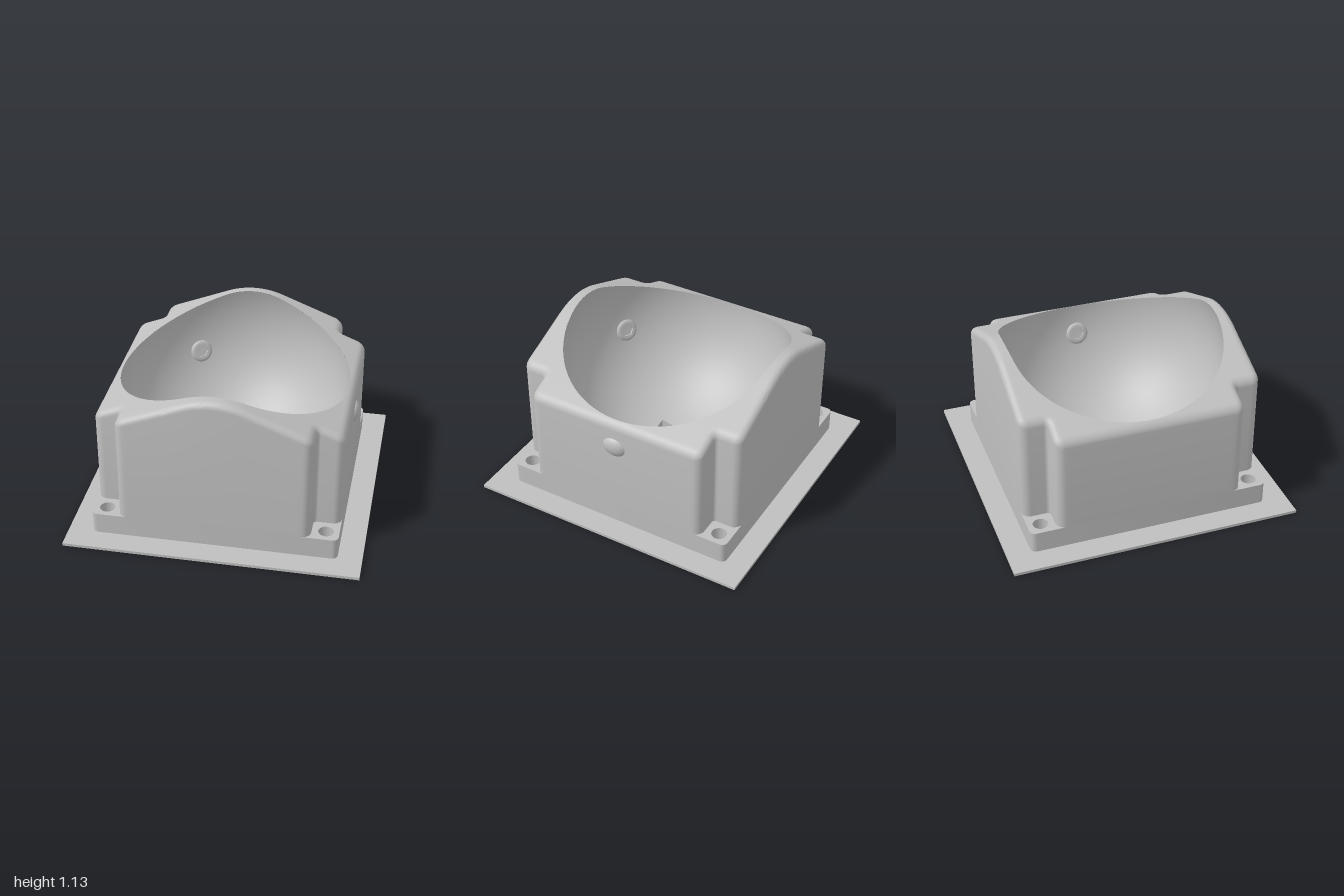
import * as THREE from 'three';
import { toCreasedNormals } from 'three/addons/utils/BufferGeometryUtils.js';

const OUT = 0.835, NOTCH = 0.65, CORNER = 0.06, INNER = 0.025, FILLET = 0.045;
const PLATE = 0.02, FLANGE = 0.17, BALL_Y = 0.862, BALL_R = 0.79;
const SLOT_X = 0.16, SLOT_Z = 0.222;

// Height of the roof: an arc over the middle, straight slopes at the sides
function roof(x) {
  const a = Math.abs(x);
  return a < 0.2 ? 1.128 - 0.548 + Math.sqrt(0.548 ** 2 - a * a) : 1.09 - 0.393 * (a - 0.2);
}

// Distance from the axis at which the bowl meets the roof
function rimRadius(phi) {
  let r = 0.78;
  for (let i = 0; i < 20; i++) r = Math.sqrt(BALL_R ** 2 - (roof(r * Math.cos(phi)) - BALL_Y) ** 2);
  return r;
}

// Plan of the body, a square with notched corners, inset by d
function outline(d) {
  const quarter = [], s = NOTCH - CORNER, e = OUT - CORNER, k = NOTCH + INNER;
  for (let i = 0; i < 48; i++) quarter.push([OUT - d, -s + (2 * s * i) / 48]);
  const arc = (cx, cz, r, from, to, last) => {
    for (let i = 0; i <= last; i++) {
      const t = from + ((to - from) * i) / 8;
      quarter.push([cx + r * Math.cos(t), cz + r * Math.sin(t)]);
    }
  };
  arc(e, s, CORNER - d, 0, Math.PI / 2, 8);
  arc(k, k, INNER + d, Math.PI * 1.5, Math.PI, 8);
  arc(s, e, CORNER - d, 0, Math.PI / 2, 7);
  const all = [];
  for (let q = 0; q < 4; q++) {
    for (const [x, z] of quarter) all.push([[x, z], [-z, x], [-x, -z], [z, -x]][q]);
  }
  return all;
}

// Skin over closed rows of points
function loft(rows, crease) {
  const n = rows[0].length, index = [];
  for (let i = 0; i < rows.length - 1; i++) {
    for (let j = 0; j < n; j++) {
      const a = i * n + j, b = i * n + ((j + 1) % n);
      index.push(a, a + n, b, b, a + n, b + n);
    }
  }
  const g = new THREE.BufferGeometry();
  g.setAttribute('position', new THREE.Float32BufferAttribute(rows.flat(2), 3));
  g.setIndex(index);
  return toCreasedNormals(g, crease);
}

function shellGeometry() {
  const rows = [outline(0).map(([x, z]) => [x, FLANGE, z])];
  // rounded upper edge
  for (let i = 0; i <= 6; i++) {
    const t = (i / 6) * Math.PI / 2;
    const d = FILLET * (1 - Math.cos(t)), drop = FILLET * (1 - Math.sin(t));
    rows.push(outline(d).map(([x, z]) => [x, roof(x) - drop, z]));
  }
  // roof inward to the bowl rim
  const edge = outline(FILLET);
  for (let i = 1; i <= 6; i++) {
    rows.push(edge.map(([x, z]) => {
      const phi = Math.atan2(z, x), r = rimRadius(phi), t = i / 6;
      const px = x + (r * Math.cos(phi) - x) * t, pz = z + (r * Math.sin(phi) - z) * t;
      return [px, roof(px), pz];
    }));
  }
  return loft(rows, 0.6);
}

function bowlGeometries() {
  const angles = [];
  for (let i = 0; i < 160; i++) angles.push((i / 160) * Math.PI * 2 - Math.PI + 0.01);
  for (const sx of [-1, 1]) for (const sz of [-1, 1]) angles.push(Math.atan2(sz * SLOT_Z, sx * SLOT_X));
  angles.sort((a, b) => a - b);
  const slot = (p) => Math.min(SLOT_X / Math.abs(Math.cos(p)), SLOT_Z / Math.abs(Math.sin(p)));
  const rows = [], N = 40;
  for (let i = 0; i <= N; i++) {
    rows.push(angles.map((p) => {
      // even steps in angle down the sphere
      const rim = rimRadius(p), rimY = roof(rim * Math.cos(p));
      const t0 = Math.atan2(rim, BALL_Y - rimY), t1 = Math.asin(slot(p) / BALL_R);
      const t = t0 + ((t1 - t0) * i) / N, r = BALL_R * Math.sin(t);
      return [r * Math.cos(p), BALL_Y - BALL_R * Math.cos(t), r * Math.sin(p)];
    }));
  }
  const lip = rows[N];
  return [loft(rows, 0.6), loft([lip, lip.map(([x, , z]) => [x, PLATE, z])], 0.5)];
}

// Square base with bolt holes and an opening under the bowl
function flangeGeometry() {
  const s = new THREE.Shape(), r = 0.04, c = OUT - r;
  s.absarc(c, c, r, 0, Math.PI / 2);
  s.absarc(-c, c, r, Math.PI / 2, Math.PI);
  s.absarc(-c, -c, r, Math.PI, Math.PI * 1.5);
  s.absarc(c, -c, r, Math.PI * 1.5, Math.PI * 2);
  const hole = (x, y, rad) => s.holes.push(new THREE.Path().absarc(x, y, rad, 0, Math.PI * 2, true));
  for (const x of [-0.745, 0.745]) for (const y of [-0.745, 0.745]) hole(x, y, 0.052);
  hole(0, 0, 0.6);
  const g = new THREE.ExtrudeGeometry(s, { depth: FLANGE - PLATE, bevelEnabled: false, curveSegments: 24 });
  g.rotateX(-Math.PI / 2).translate(0, PLATE, 0);
  return toCreasedNormals(g, 0.5);
}

export function createModel() {
  const model = new THREE.Group();
  model.name = 'ballHousing';
  const grey = new THREE.MeshStandardMaterial({ color: 0xbfbfbf });
  grey.name = 'grey';
  const add = (parent, name, geometry) => {
    const m = new THREE.Mesh(geometry, grey);
    m.name = name;
    parent.add(m);
    return m;
  };

  add(model, 'basePlate', new THREE.BoxGeometry(2, PLATE, 2)).position.y = PLATE / 2;
  add(model, 'mountingFlange', flangeGeometry());
  add(model, 'housing', shellGeometry());
  const [bowl, slot] = bowlGeometries();
  add(model, 'bowl', bowl);
  add(model, 'sensorSlot', slot);

  // Three supports around the bowl, each a low round head with a hex socket
  const rim = new THREE.LatheGeometry(
    [[0.082, -0.006], [0.081, 0.005], [0.076, 0.011], [0.069, 0.015], [0.06, 0.017]].map(([x, y]) => new THREE.Vector2(x, y)), 32);
  rim.rotateX(Math.PI / 2);
  const face = new THREE.Shape().absarc(0, 0, 0.06, 0, Math.PI * 2);
  const hex = [];
  for (let i = 0; i < 6; i++) hex.push(new THREE.Vector2(0.046 * Math.cos(-i * Math.PI / 3), 0.046 * Math.sin(-i * Math.PI / 3)));
  face.holes.push(new THREE.Path(hex));
  const socket = new THREE.ExtrudeGeometry(face, { depth: 0.017, bevelEnabled: false, curveSegments: 16 });
  const tilt = 0.282;
  for (let i = 0; i < 3; i++) {
    const a = (i * Math.PI * 2) / 3, r = BALL_R * Math.cos(tilt);
    const support = new THREE.Group();
    support.name = 'support' + (i + 1);
    support.position.set(r * Math.cos(a), BALL_Y - BALL_R * Math.sin(tilt), r * Math.sin(a));
    support.lookAt(0, BALL_Y, 0);
    add(support, 'headRim', rim);
    add(support, 'hexSocket', socket);
    model.add(support);
  }

  // Rounded end of the side support showing through the outer wall
  const dome = new THREE.SphereGeometry(1, 32, 12, 0, Math.PI * 2, 0, Math.PI / 2);
  dome.rotateZ(-Math.PI / 2).scale(0.055, 0.08, 0.094);
  const end = add(model, 'supportEnd', dome);
  end.position.set(0.81, 0.655, 0);
  end.rotation.z = -0.2;
  return model;
}
